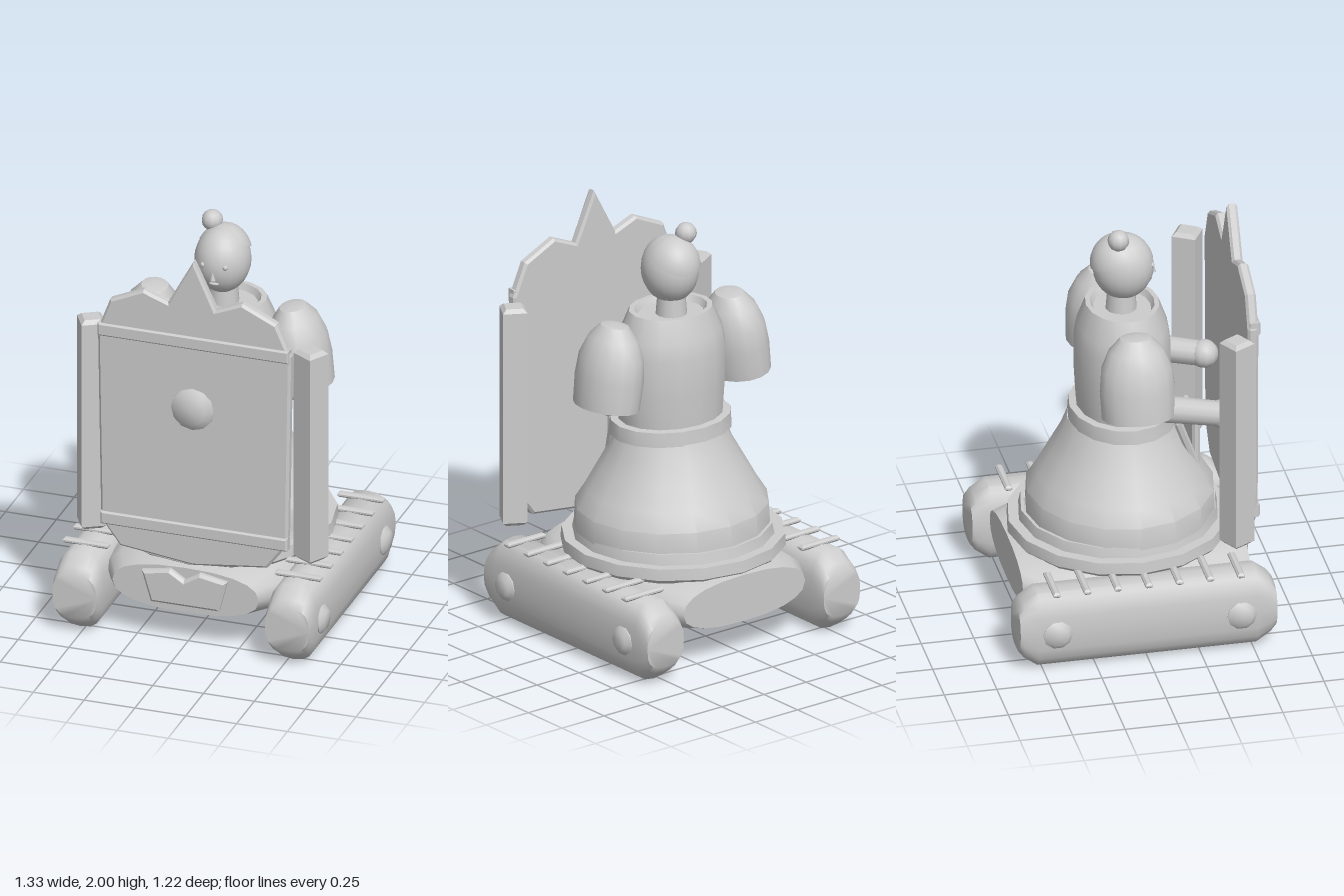
import * as THREE from 'three';
import { toCreasedNormals } from 'three/addons/utils/BufferGeometryUtils.js';

const grey = new THREE.MeshStandardMaterial({ color: 0xcccccc });
grey.name = 'plain grey';

export function createModel() {
  const model = new THREE.Group();

  function add(name, geometry, x = 0, y = 0, z = 0, parent = model) {
    const mesh = new THREE.Mesh(geometry, grey);
    mesh.name = name;
    mesh.position.set(x, y, z);
    parent.add(mesh);
    return mesh;
  }

  // Turned part from [radius, height] pairs listed upwards
  const lathe = (pts, sides = 16, crease = 0.6) =>
    toCreasedNormals(new THREE.LatheGeometry(pts.map(p => new THREE.Vector2(...p)), sides), crease);

  // Bevelled plate whose outline is drawn in x and y
  function plate(outline, depth, bevel) {
    const shape = new THREE.Shape(outline.map(p => new THREE.Vector2(...p)));
    const g = new THREE.ExtrudeGeometry(shape, {
      depth: depth - 2 * bevel, bevelThickness: bevel, bevelSize: bevel, bevelOffset: -bevel, bevelSegments: 1
    });
    return g.translate(0, 0, bevel);
  }
  const rect = (w, h) => [[-w / 2, -h / 2], [w / 2, -h / 2], [w / 2, h / 2], [-w / 2, h / 2]];

  // Closed body from superellipse sections [z, halfWidth, bottom, top] along z
  function loft(sections, power, n = 20) {
    const pos = [], idx = [];
    const bend = v => Math.sign(v) * Math.abs(v) ** (2 / power);
    for (const [z, w, lo, hi] of sections)
      for (let j = 0; j < n; j++) {
        const a = j / n * Math.PI * 2;
        pos.push(w * bend(Math.cos(a)), (lo + hi) / 2 + (hi - lo) / 2 * bend(Math.sin(a)), z);
      }
    const last = (sections.length - 1) * n;
    for (let i = 0; i < last; i += n)
      for (let j = 0; j < n; j++) {
        const k = (j + 1) % n;
        idx.push(i + j, i + k, i + n + k, i + j, i + n + k, i + n + j);
      }
    for (let j = 1; j < n - 1; j++) idx.push(0, j + 1, j, last, last + j, last + j + 1);
    const g = new THREE.BufferGeometry();
    g.setAttribute('position', new THREE.Float32BufferAttribute(pos, 3));
    g.setIndex(idx);
    return toCreasedNormals(g, 0.75);
  }

  // Chassis between the tracks, with a crested nose plate
  add('chassis', loft([
    [-0.54, 0.36, 0.17, 0.40], [-0.42, 0.43, 0.145, 0.42], [0, 0.48, 0.14, 0.43],
    [0.42, 0.43, 0.145, 0.42], [0.54, 0.36, 0.17, 0.40]], 2.4));
  add('nosePlate', plate([
    [-0.165, 0.21], [0.17, 0.21], [0.21, 0.365], [0.075, 0.39], [0, 0.345], [-0.07, 0.39], [-0.21, 0.365]
  ], 0.05, 0.014), 0, 0, 0.52);

  // Tracks with cleats and wheel hubs
  const trackGeo = loft([
    [-0.61, 0.108, 0.09, 0.31], [-0.585, 0.112, 0.055, 0.345], [-0.52, 0.117, 0.005, 0.395],
    [0.52, 0.117, 0.005, 0.395], [0.585, 0.112, 0.055, 0.345], [0.61, 0.108, 0.09, 0.31]], 2.8);
  const hubGeo = lathe([[0.07, 0], [0.07, 0.025], [0.045, 0.045], [0, 0.048]], 10, 0.7);
  const cleatGeo = plate(rect(0.225, 0.034), 0.026, 0.009).rotateX(-Math.PI / 2);
  for (const s of [1, -1]) {
    const track = new THREE.Group();
    track.name = s > 0 ? 'leftTrack' : 'rightTrack';
    track.position.x = 0.523 * s;
    model.add(track);
    add('trackBody', trackGeo, 0, 0, 0, track);
    for (let i = -3; i <= 3; i++) add('cleat', cleatGeo, 0, 0.386, i * 0.146, track);
    for (const z of [0.44, -0.435])
      add('wheelHub', hubGeo, s * 0.095, 0.195, z, track).rotation.z = -s * Math.PI / 2;
  }

  // Stepped base and bell skirt
  add('skirtBase', lathe([[0, 0.39], [0.51, 0.39], [0.53, 0.41], [0.525, 0.465], [0.475, 0.465],
    [0.465, 0.515], [0.45, 0.515]]), 0, 0, -0.01).scale.z = 0.99;
  add('skirt', lathe([[0.455, 0.5], [0.45, 0.61], [0.40, 0.69], [0.34, 0.80], [0.285, 0.90],
    [0.255, 0.975]]), 0, 0, 0).scale.set(1.03, 1, 0.98);

  // Waist, bodice and collar
  add('belt', lathe([[0.2, 0.97], [0.255, 0.97], [0.25, 1.04], [0.2, 1.045]]), 0, 0, 0.01).scale.x = 1.2;
  add('bodice', lathe([[0.215, 1.03], [0.225, 1.2], [0.225, 1.38], [0.212, 1.46], [0.172, 1.57],
    [0.15, 1.57], [0.135, 1.54], [0, 1.54]]), 0, 0, 0.01).scale.x = 1.22;
  add('neck', new THREE.CylinderGeometry(0.065, 0.075, 0.12, 12), 0, 1.59, 0.005);

  // Head, hair, bun and face
  add('head', new THREE.SphereGeometry(1, 20, 14), 0, 1.76, 0.015).scale.set(0.132, 0.162, 0.144);
  const hair = add('hair', new THREE.SphereGeometry(1, 20, 8, 0, Math.PI * 2, 0, 1.15), 0, 1.765, 0.008);
  hair.scale.set(0.134, 0.162, 0.146);
  hair.rotation.x = -0.45;
  add('hairBun', new THREE.SphereGeometry(0.051, 10, 8), -0.065, 1.93, -0.022);
  add('nose', new THREE.ConeGeometry(0.014, 0.04, 6), 0, 1.73, 0.157);
  add('mouth', new THREE.SphereGeometry(1, 8, 6), 0, 1.685, 0.14).scale.set(0.026, 0.01, 0.012);
  for (const s of [1, -1]) add('eye', new THREE.SphereGeometry(0.013, 8, 6), s * 0.055, 1.775, 0.14);

  // Puffed sleeves with recessed cuffs
  const sleeveGeo = lathe([[0, 0.05], [0.135, 0.05], [0.145, 0], [0.172, 0], [0.178, 0.14],
    [0.168, 0.24], [0.13, 0.33], [0.075, 0.39], [0, 0.405]]);
  for (const s of [1, -1]) {
    const sleeve = add(s > 0 ? 'leftSleeve' : 'rightSleeve', sleeveGeo, s * 0.39, 1.175, 0);
    sleeve.scale.x = 0.84;
    sleeve.rotation.z = s * 0.13;
  }

  // Forearms reaching towards the controls
  function forearm(name, from, to) {
    const a = new THREE.Vector3(...from), b = new THREE.Vector3(...to);
    const dir = b.clone().sub(a), mid = a.clone().add(b).multiplyScalar(0.5);
    const arm = add(name, new THREE.CylinderGeometry(0.06, 0.066, dir.length(), 12), mid.x, mid.y, mid.z);
    arm.quaternion.setFromUnitVectors(new THREE.Vector3(0, 1, 0), dir.normalize());
    add(name + 'Hand', new THREE.SphereGeometry(0.068, 12, 10), ...to);
    add(name + 'Elbow', new THREE.SphereGeometry(0.064, 12, 10), ...from);
  }
  forearm('leftForearm', [0.34, 1.165, 0.04], [0.14, 1.165, 0.43]);
  forearm('rightForearm', [-0.37, 1.2, 0.05], [-0.29, 1.08, 0.42]);

  // Control panel and upright handle plate in front of the skirt
  const panel = add('controlPanel', plate([[-0.13, -0.15], [0.13, -0.15], [0.17, 0.15], [-0.17, 0.15]], 0.04, 0.01),
    0, 0.83, 0.275);
  panel.rotation.x = -0.35;
  add('handlePlate', plate(rect(0.24, 0.26), 0.036, 0.01), -0.01, 0.84, 0.317);

  // Crowned shield with cross bands and a central boss
  add('shield', plate([
    [0.045, 0.43], [0.41, 0.475], [0.485, 0.575], [0.51, 0.64], [0.525, 1.58], [0.455, 1.74], [0.285, 1.82],
    [0.155, 1.765], [0.045, 2], [-0.08, 1.77], [-0.2, 1.815], [-0.365, 1.74], [-0.425, 1.58], [-0.41, 0.64],
    [-0.39, 0.575], [-0.315, 0.475]
  ], 0.052, 0.012), 0, 0, 0.515);
  add('topBand', plate(rect(0.94, 0.065), 0.055, 0.008), 0.048, 1.583, 0.522);
  add('bottomBand', plate(rect(0.92, 0.065), 0.055, 0.008), 0.051, 0.612, 0.522);
  add('shieldBoss', lathe([[0.105, 0], [0.105, 0.015], [0.068, 0.04], [0, 0.048]], 12, 0.7),
    0.045, 1.242, 0.56).rotation.x = Math.PI / 2;

  // Angled posts either side of the shield
  const postGeo = plate(rect(0.115, 0.115), 1.08, 0.018).rotateX(-Math.PI / 2);
  for (const s of [1, -1])
    add(s > 0 ? 'leftPost' : 'rightPost', postGeo, 0.045 + s * 0.54, 0.5, 0.447).rotation.y = -s * 0.52;

  return model;
}
